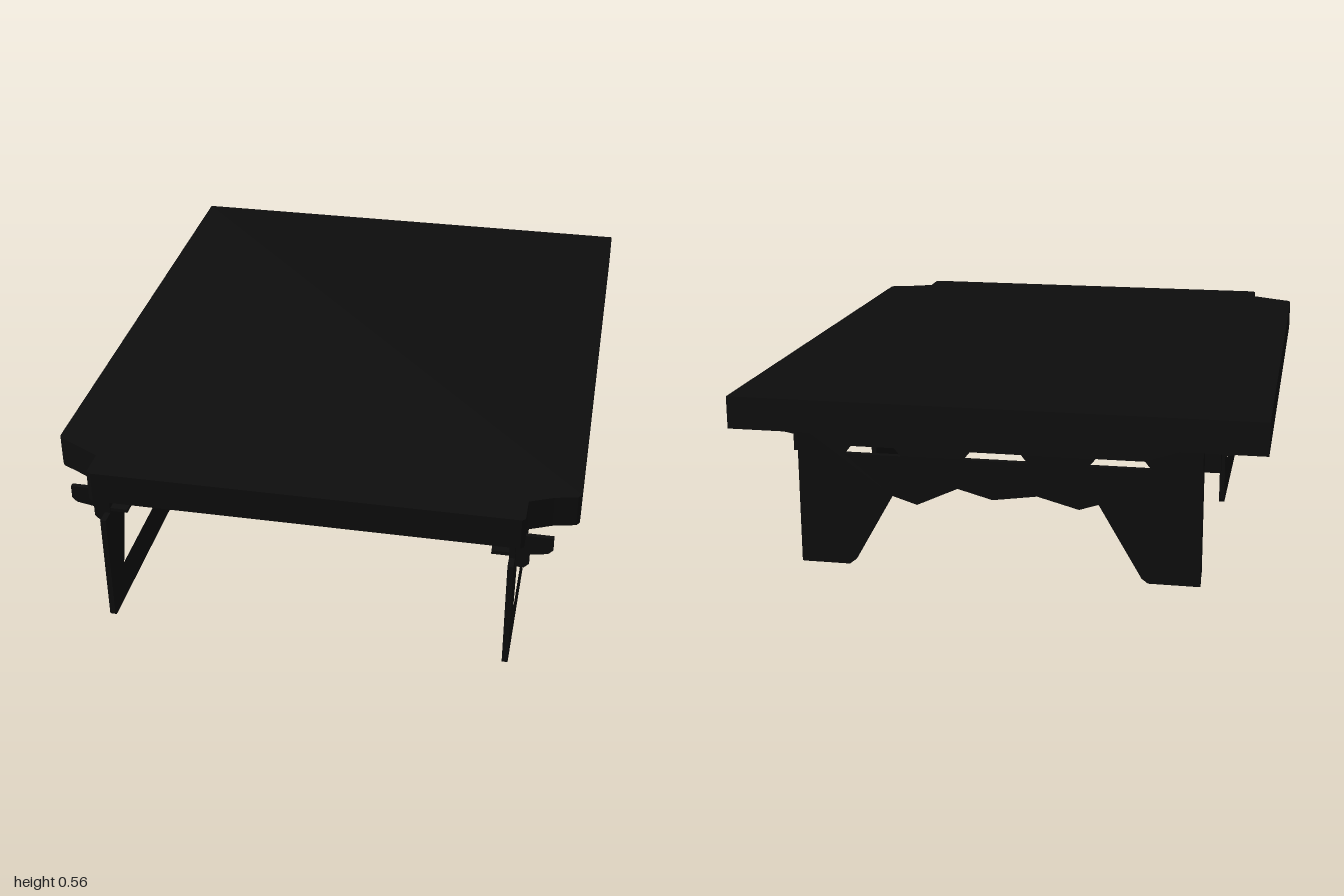
import * as THREE from 'three';

export function createModel() {
  const model = new THREE.Group();
  model.name = 'platform';
  const black = new THREE.MeshStandardMaterial({ color: 0x0d0d0d });
  black.name = 'black';

  const add = (name, geometry, x = 0, y = 0, z = 0) => {
    const mesh = new THREE.Mesh(geometry, black);
    mesh.name = name;
    mesh.position.set(x, y, z);
    model.add(mesh);
    return mesh;
  };
  const box = (name, w, h, d, x, y, z) => add(name, new THREE.BoxGeometry(w, h, d), x, y, z);
  const outline = (pts) => pts.map(([a, b]) => new THREE.Vector2(a, b));
  const plate = (pts, depth, holes = []) => {
    const shape = new THREE.Shape(outline(pts));
    holes.forEach((h) => shape.holes.push(new THREE.Path(outline(h))));
    return new THREE.ExtrudeGeometry(shape, { depth, bevelEnabled: false });
  };

  // Deck slab with notched front corners
  const deck = plate([
    [-0.83, -1], [0.83, -1], [0.83, 0.835], [0.82, 0.85], [0.75, 0.866], [0.675, 0.9],
    [0.675, 0.99], [0.665, 1], [-0.665, 1], [-0.68, 0.99], [-0.68, 0.9],
    [-0.77, 0.85], [-0.82, 0.825], [-0.83, 0.81],
  ], 0.103).rotateX(Math.PI / 2);
  add('deck', deck, 0, 0.555, 0);

  // Rear leg panel: ragged arch between two feet, slots along the top
  const slot = (a, b) => [[a, 0.37], [a + 0.02, 0.395], [b - 0.02, 0.395], [b, 0.37]];
  add('rearPanel', plate([
    [-0.635, 0.005], [-0.475, 0.005], [-0.455, 0.02], [-0.32, 0.25], [-0.26, 0.23], [-0.13, 0.265],
    [0.01, 0.245], [0.12, 0.275], [0.25, 0.215], [0.33, 0.24], [0.455, 0.02], [0.475, 0.005],
    [0.625, 0.005], [0.625, 0.453], [-0.635, 0.453],
  ], 0.02, [slot(-0.48, -0.29), slot(-0.1, 0.1), slot(0.3, 0.48)]), 0, 0, -0.93);

  // Trapezoid window with a ragged top edge, starting at depth z
  const windowHole = (z, tops) => [[z, 0.13], [z - 0.39, 0.13], ...tops];
  const frame = plate([
    [0.99, 0], [-0.09, 0], [-0.105, 0.015], [-0.105, 0.38], [-0.07, 0.38], [-0.07, 0.453],
    [0.41, 0.453], [0.4, 0.41], [0.425, 0.37], [0.43, 0.335], [0.465, 0.335], [0.47, 0.37],
    [0.495, 0.41], [0.485, 0.453], [0.955, 0.453], [0.955, 0.38], [1, 0.38], [1, 0.01],
  ], 0.018, [
    windowHole(0.88, [[0.56, 0.33], [0.64, 0.3], [0.73, 0.36], [0.79, 0.29], [0.83, 0.31]]),
    windowHole(0.4, [[0.06, 0.31], [0.1, 0.3], [0.17, 0.36], [0.27, 0.3], [0.34, 0.335]]),
  ]).rotateY(-Math.PI / 2);

  // Outward support bracket
  const bracket = plate([
    [0, 0.335], [0.04, 0.335], [0.055, 0.35], [0.055, 0.385], [0.11, 0.395],
    [0.125, 0.41], [0.125, 0.453], [0, 0.453],
  ], 0.015);

  for (const s of [-1, 1]) {
    const side = s > 0 ? 'left' : 'right';
    add(side + 'SideFrame', frame, s > 0 ? 0.648 : -0.63, 0, 0);
    // Inward foot and top flanges of the frame
    box(side + 'FrameTopFlange', 0.06, 0.012, 0.44, s * 0.605, 0.39, 0.73);
    box(side + 'FrameTopFlange', 0.06, 0.012, 0.44, s * 0.605, 0.39, 0.17);
    // Rear leg return flange
    box(side + 'RearLegFlange', 0.018, 0.445, 0.1, s * 0.622, 0.228, -0.88);
    // Lengthwise rail
    box(side + 'Rail', 0.04, 0.063, 0.8, s * 0.61, 0.422, -0.47);
    // Brackets
    for (const z of [0.92, 0.72, 0.54, 0.34, 0.14, -0.05, -0.8]) {
      const g = bracket.clone();
      if (s < 0) g.rotateY(Math.PI);
      add(side + 'Bracket', g, s * 0.635, 0, z + (s < 0 ? 0.015 : 0));
    }
    box(side + 'RearBracketPlate', 0.05, 0.11, 0.06, s * 0.655, 0.395, -0.8);
  }

  // Cross beams under the deck
  for (const z of [0.9, 0.56, 0.34, -0.04, -0.45]) box('crossBeam', 1.25, 0.062, 0.03, 0, 0.422, z);

  // Thin slats in the gaps between beams
  for (let i = 0; i < 14; i++) {
    const z = -0.82 + i * 0.125;
    if (Math.abs(z - 0.45) < 0.06) continue;
    for (const x of [-0.38, 0, 0.38]) box('slat', 0.3, 0.01, 0.03, x, 0.447, z);
  }
  return model;
}
